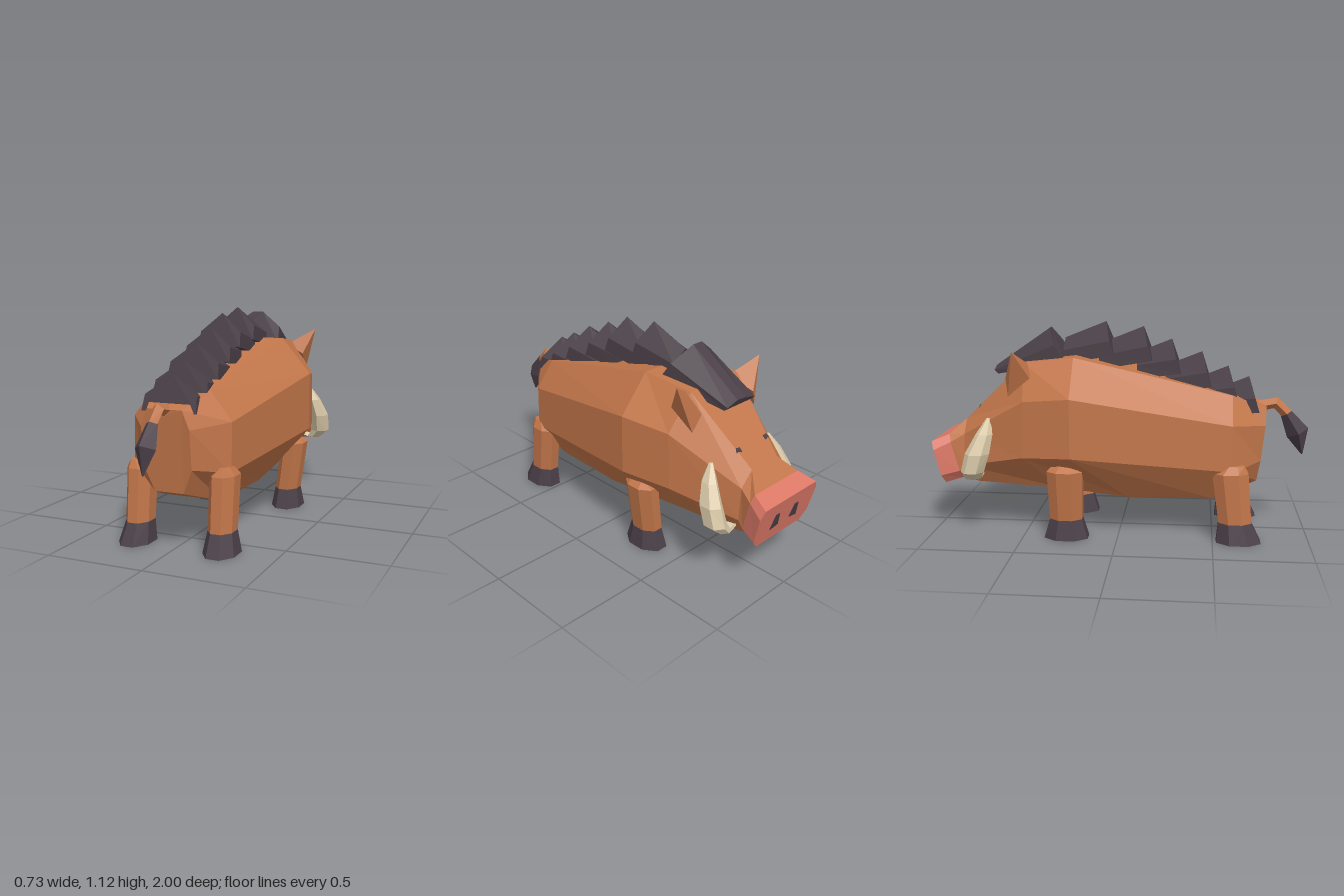
import * as THREE from 'three';

const mat = (name, color) => {
  const m = new THREE.MeshStandardMaterial({ color });
  m.name = name;
  return m;
};

// Faceted solid through closed rings of [x, y, z] points, capped at both ends
function loft(rings) {
  const tris = [];
  const n = rings[0].length;
  for (let i = 0; i < rings.length - 1; i++) {
    for (let j = 0; j < n; j++) {
      const k = (j + 1) % n;
      const [a, b, c, d] = [rings[i][j], rings[i][k], rings[i + 1][k], rings[i + 1][j]];
      tris.push([a, b, c], [a, c, d]);
    }
  }
  const last = rings[rings.length - 1];
  for (let j = 1; j < n - 1; j++) {
    tris.push([rings[0][0], rings[0][j + 1], rings[0][j]], [last[0], last[j], last[j + 1]]);
  }
  // Signed volume tells whether the corners need reversing
  const v = (p) => new THREE.Vector3(...p);
  const o = v(rings[0][0]);
  let volume = 0;
  for (const [a, b, c] of tris) volume += v(a).sub(o).dot(v(b).sub(o).cross(v(c).sub(o)));
  if (volume < 0) tris.forEach((t) => t.reverse());
  const geo = new THREE.BufferGeometry();
  geo.setAttribute('position', new THREE.Float32BufferAttribute(tris.flat(2), 3));
  geo.computeVertexNormals();
  return geo;
}

// Symmetric ring from its +x half, listed top to bottom
const sym = (half) => [...half, ...half.slice().reverse().map(([x, y, z]) => [-x, y, z])];

// Horizontal oval ring
const oval = (x, y, z, rx, rz, n = 8) => Array.from({ length: n }, (_, i) => {
  const a = ((i + 0.5) / n) * Math.PI * 2;
  return [x + Math.cos(a) * rx, y, z + Math.sin(a) * rz];
});

export function createModel() {
  const group = new THREE.Group();
  group.name = 'boar';
  const fur = mat('brown fur', 0xc2764a);
  const dark = mat('dark bristle', 0x4a3f47);
  const pink = mat('pink snout', 0xdc7867);
  const ivory = mat('ivory tusk', 0xdccbaa);

  const add = (name, rings, material) => {
    const mesh = new THREE.Mesh(loft(rings), material);
    mesh.name = name;
    group.add(mesh);
  };
  const addPair = (name, rings, material) => {
    add(name + 'PlusX', rings, material);
    add(name + 'MinusX', rings.map((r) => r.map(([x, y, z]) => [-x, y, z])), material);
  };

  // Body and head, from rump to snout
  const snoutBase = sym([[0.165, 0.53, -0.91], [0.185, 0.49, -0.9], [0.18, 0.33, -0.86], [0.14, 0.285, -0.85]]);
  add('body', [
    sym([[0.09, 0.69, 0.77], [0.125, 0.6, 0.765], [0.125, 0.41, 0.745], [0.075, 0.29, 0.73]]),
    sym([[0.15, 0.76, 0.59], [0.26, 0.62, 0.59], [0.26, 0.38, 0.6], [0.165, 0.21, 0.5]]),
    sym([[0.205, 0.953, -0.23], [0.367, 0.763, -0.23], [0.367, 0.457, -0.23], [0.18, 0.21, 0.05]]),
    sym([[0.17, 0.92, -0.5], [0.3, 0.735, -0.48], [0.3, 0.44, -0.49], [0.18, 0.25, -0.3]]),
    sym([[0.095, 0.605, -0.83], [0.165, 0.53, -0.83], [0.175, 0.36, -0.83], [0.13, 0.262, -0.76]]),
    snoutBase,
  ], fur);

  // Flared snout disc
  add('snout', [
    snoutBase,
    sym([[0.195, 0.495, -1], [0.217, 0.45, -0.988], [0.21, 0.31, -0.953], [0.17, 0.262, -0.94]]),
  ], pink);

  // Nostrils lie on the sloping snout face
  const faceZ = (y) => -1 + (0.495 - y) * 0.255;
  const nostril = (lift) => [[0.06, 0.42], [0.085, 0.42], [0.1, 0.335], [0.045, 0.345]]
    .map(([x, y]) => [x, y, faceZ(y) + lift]);
  addPair('nostril', [nostril(0.003), nostril(-0.004)], dark);

  // Eyes
  addPair('eye', [
    [[0.08, 0.665, -0.73], [0.12, 0.665, -0.72], [0.125, 0.65, -0.75], [0.085, 0.65, -0.76]],
    [[0.085, 0.69, -0.74], [0.112, 0.698, -0.73], [0.117, 0.68, -0.755], [0.09, 0.675, -0.762]],
  ], dark);

  // Ears: pointed pyramids
  const earTip = [0.3, 0.99, -0.53];
  addPair('ear', [
    [[0.15, 0.9, -0.46], [0.25, 0.85, -0.45], [0.23, 0.75, -0.57], [0.19, 0.84, -0.59]],
    [earTip, earTip, earTip, earTip],
  ], fur);

  // Tusks: out of the mouth, bulging outward, then up to a point
  addPair('tusk', [
    oval(0.17, 0.32, -0.77, 0.03, 0.045, 6),
    oval(0.225, 0.305, -0.775, 0.04, 0.045, 6),
    oval(0.265, 0.35, -0.765, 0.055, 0.062, 6),
    oval(0.27, 0.45, -0.735, 0.05, 0.065, 6),
    oval(0.245, 0.55, -0.7, 0.035, 0.045, 6),
    oval(0.215, 0.63, -0.68, 0.01, 0.012, 6),
  ], ivory);

  // Legs and hooves
  const legs = [
    { name: 'front', x: [0.235, 0.235, 0.27, 0.26], z: [-0.27, -0.27, -0.27, -0.27] },
    { name: 'rear', x: [0.228, 0.222, 0.222, 0.235], z: [0.635, 0.615, 0.585, 0.6] },
  ];
  for (const { name, x, z } of legs) {
    const cuff = oval(x[1], 0.105, z[1], 0.068, 0.092);
    addPair(name + 'Hoof', [
      oval(x[0], 0, z[0], 0.088, 0.125),
      cuff,
    ], dark);
    addPair(name + 'Leg', [
      cuff,
      oval(x[2], 0.37, z[2], 0.07, 0.1),
      oval(x[3], 0.41, z[3], 0.03, 0.06),
    ], fur);
  }

  // Mane: overlapping roof-shaped bristle blocks, [peak z, peak y, half width]
  const crest = [
    [0.68, 0.84, 0.142], [0.57, 0.895, 0.145], [0.43, 0.97, 0.137],
    [0.27, 1.035, 0.127], [0.12, 1.1, 0.118], [-0.08, 1.125, 0.112], [-0.27],
  ];
  const roof = (w, z, y, drop, depth, lean) => sym([
    [0.001, y, z], [w * 0.95, y - drop, z + lean * 0.5], [w, y - depth, z + lean],
  ]);
  for (let i = 0; i < 6; i++) {
    const [z, y, w] = crest[i];
    const zf = crest[i + 1][0] - 0.03;
    add('maneBlock' + (i + 1), [
      roof(w, z, y, 0.095, 0.17, 0.05),
      roof(w * 0.78, zf, y - 0.4 * (z - zf), 0.06, 0.13, 0),
    ], dark);
  }

  // Forelock over the brow
  add('forelock', [
    sym([[0.03, 1.09, -0.38], [0.145, 1.01, -0.34], [0.16, 0.92, -0.28]]),
    sym([[0.03, 0.89, -0.67], [0.1, 0.87, -0.67], [0.1, 0.85, -0.65]]),
  ], dark);

  // Tail and its tuft: diamond sections [y, z, half width, half depth along y, along z]
  const diamond = ([y, z, w, dy, dz]) => [[w, y, z], [0, y + dy, z + dz], [-w, y, z], [0, y - dy, z - dz]];
  add('tail', [
    [0.68, 0.73, 0.03, 0.03, 0], [0.7, 0.825, 0.03, 0.03, 0.01], [0.64, 0.885, 0.026, 0.015, 0.025],
  ].map(diamond), fur);
  add('tailTuft', [
    [0.642, 0.882, 0.03, 0.015, 0.028], [0.54, 0.945, 0.053, 0.025, 0.055], [0.424, 0.973, 0.004, 0.002, 0.004],
  ].map(diamond), dark);

  return group;
}
